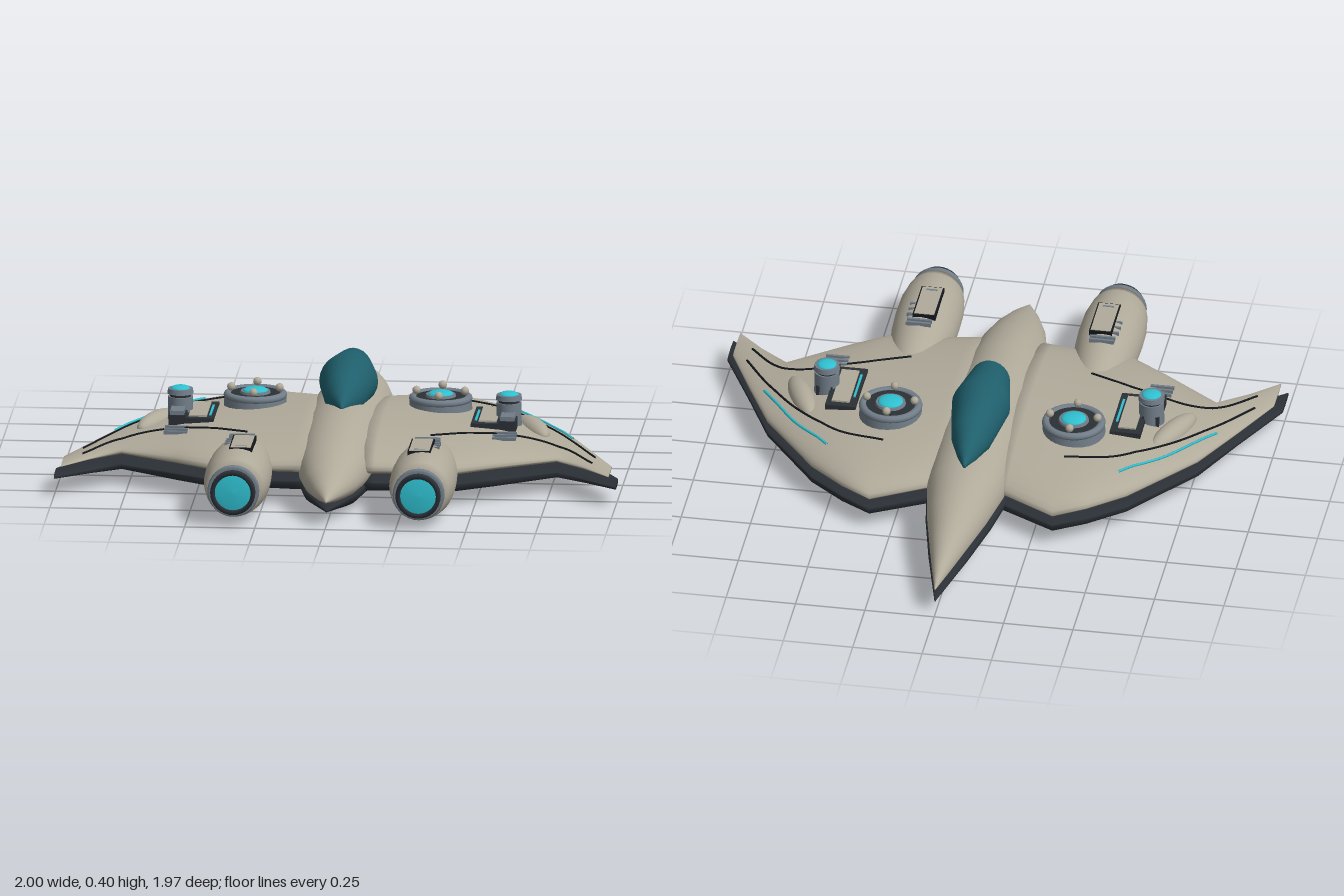
import * as THREE from 'three';

const mat = (name, color, extra = {}) => {
  const m = new THREE.MeshStandardMaterial({ color, ...extra });
  m.name = name;
  return m;
};

// Skin a list of equal-length rings, closing both ends with a fan
function loft(rings) {
  const n = rings[0].length, pos = [], idx = [];
  rings.forEach(r => r.forEach(p => pos.push(...p)));
  for (let i = 0; i < rings.length - 1; i++) for (let j = 0; j < n; j++) {
    const a = i * n + j, b = i * n + (j + 1) % n;
    idx.push(a, b, b + n, a, b + n, a + n);
  }
  [0, rings.length - 1].forEach(k => {
    const c = pos.length / 3;
    pos.push(...[0, 1, 2].map(d => rings[k].reduce((s, p) => s + p[d], 0) / n));
    for (let j = 0; j < n; j++) {
      const a = k * n + j, b = k * n + (j + 1) % n;
      idx.push(c, ...(k ? [a, b] : [b, a]));
    }
  });
  const g = new THREE.BufferGeometry();
  g.setAttribute('position', new THREE.Float32BufferAttribute(pos, 3));
  g.setIndex(idx);
  g.computeVertexNormals();
  return g;
}

// Body along z; each station is [z, halfWidth, topY, midY, bottomY]
const body = (stations, n = 32) => loft(stations.map(([z, w, t, m, b]) =>
  Array.from({ length: n }, (_, j) => {
    const a = j / n * Math.PI * 2, s = Math.sin(a);
    return [w * Math.cos(a), m + s * (s > 0 ? t - m : m - b), z];
  })));

// Wing along x; each station is [x, leadZ, trailZ, midY, rise, drop]
const wing = (stations, power, n = 40) => loft(stations.map(([x, l, t, m, up, down]) =>
  Array.from({ length: n }, (_, j) => {
    const a = j / n * Math.PI * 2, c = Math.cos(a);
    return [x, c > 0 ? m + up * c : m - down * Math.pow(-c, power), (l + t) / 2 + (t - l) / 2 * Math.sin(a)];
  })));

const WING = [
  [0.08, -0.33, 0.64, 0.13, 0.1, 0.05],
  [0.145, -0.36, 0.635, 0.13, 0.098, 0.05],
  [0.33, -0.46, 0.615, 0.125, 0.09, 0.045],
  [0.44, -0.39, 0.61, 0.125, 0.083, 0.045],
  [0.567, -0.283, 0.525, 0.125, 0.073, 0.04],
  [0.775, -0.01, 0.385, 0.12, 0.035, 0.025],
  [0.88, 0.21, 0.475, 0.114, 0.018, 0.012],
  [0.975, 0.42, 0.575, 0.108, 0.006, 0.004],
];

// Height of the wing's upper skin
function wingTop(x, z) {
  let i = 0;
  while (i < WING.length - 2 && x > WING[i + 1][0]) i++;
  const A = WING[i], B = WING[i + 1], k = (x - A[0]) / (B[0] - A[0]);
  const [, l, t, m, up] = A.map((v, d) => v + (B[d] - v) * k);
  const s = THREE.MathUtils.clamp((2 * z - l - t) / (t - l), -1, 1);
  return m + up * Math.sqrt(1 - s * s);
}

export function createModel() {
  const hullMat = mat('warm grey hull', 0xb0aa9a);
  const darkMat = mat('dark underside', 0x2b3036);
  const steelMat = mat('blue grey steel', 0x717d88);
  const glowMat = mat('cyan glow', 0x2fc0d0);
  const glassMat = mat('teal glass', 0x1f5f6c);
  const lineMat = mat('black line', 0x14181c);

  const model = new THREE.Group();
  model.name = 'starfighter';
  const half = new THREE.Group();
  const add = (parent, name, geo, m, x = 0, y = 0, z = 0) => {
    const mesh = new THREE.Mesh(geo, m);
    mesh.name = name;
    mesh.position.set(x, y, z);
    parent.add(mesh);
    return mesh;
  };
  const box = (name, m, w, h, d, x, y, z) => add(half, name, new THREE.BoxGeometry(w, h, d), m, x, y, z);
  const cyl = (name, m, r, y0, y1, x, z, r2 = r) =>
    add(half, name, new THREE.CylinderGeometry(r2, r, y1 - y0, 28), m, x, (y0 + y1) / 2, z);

  // Central hull, belly and canopy
  add(model, 'upperHull', body([
    [-0.985, 0.002, 0.108, 0.105, 0.102], [-0.86, 0.033, 0.148, 0.11, 0.095], [-0.72, 0.066, 0.184, 0.115, 0.09],
    [-0.54, 0.107, 0.222, 0.12, 0.08], [-0.36, 0.139, 0.246, 0.125, 0.07], [-0.1, 0.155, 0.265, 0.125, 0.05],
    [0.2, 0.152, 0.27, 0.125, 0.03], [0.45, 0.142, 0.252, 0.12, 0.02], [0.62, 0.124, 0.22, 0.112, 0.03],
    [0.75, 0.094, 0.183, 0.105, 0.045], [0.86, 0.052, 0.143, 0.098, 0.065], [0.96, 0.003, 0.096, 0.09, 0.086],
  ]), hullMat);
  add(model, 'belly', body([
    [-0.985, 0.002, 0.062, 0.058, 0.055], [-0.72, 0.07, 0.095, 0.07, 0.038], [-0.5, 0.119, 0.11, 0.08, 0.024],
    [-0.3, 0.15, 0.12, 0.085, 0.013], [0, 0.157, 0.12, 0.085, 0.004], [0.3, 0.15, 0.12, 0.085, 0],
    [0.55, 0.134, 0.11, 0.075, 0.002], [0.72, 0.098, 0.09, 0.062, 0.012], [0.93, 0.003, 0.056, 0.05, 0.046],
  ]), darkMat);
  add(model, 'canopy', body([
    [-0.385, 0.004, 0.258, 0.25, 0.24], [-0.33, 0.035, 0.302, 0.26, 0.22], [-0.24, 0.072, 0.365, 0.275, 0.2],
    [-0.04, 0.105, 0.395, 0.29, 0.2], [0.15, 0.072, 0.362, 0.28, 0.2], [0.21, 0.042, 0.32, 0.275, 0.22],
    [0.27, 0.004, 0.274, 0.265, 0.25],
  ], 24), glassMat);

  // Wing skin over a dark plate
  add(half, 'wing', wing(WING, 1), hullMat);
  const plate = WING.map(([x, l, t, , , d], i) =>
    [i === 7 ? 1 : x, i === 7 ? 0.45 : l - 0.004, t + 0.003, 0.084 - 0.002 * i, 0.03 - 0.003 * i, 0.008 + d * 0.9]);
  add(half, 'wingUnderside', wing(plate, 0.5), darkMat);

  // Inlaid lines that follow the wing skin
  const inlay = (name, m, r, pts) => {
    const flat = new THREE.CatmullRomCurve3(pts.map(([x, z]) => new THREE.Vector3(x, 0, z)));
    const path = flat.getPoints(40).map(p => p.setY(wingTop(p.x, p.z) + 0.002));
    add(half, name, new THREE.TubeGeometry(new THREE.CatmullRomCurve3(path), 60, r, 6), m);
  };
  inlay('frontSeam', lineMat, 0.004, [[0.325, -0.19], [0.5, -0.135], [0.66, 0], [0.8, 0.18], [0.915, 0.37]]);
  inlay('rearSeam', lineMat, 0.004, [[0.325, 0.38], [0.5, 0.315], [0.69, 0.28], [0.8, 0.32], [0.91, 0.45]]);
  inlay('lightStrip', glowMat, 0.005, [[0.525, -0.21], [0.66, -0.07], [0.745, 0.05], [0.815, 0.155]]);

  // Engine pod and nozzle, turned about z
  const lathe = (name, m, pts) => {
    const g = new THREE.LatheGeometry(pts.map(([r, z]) => new THREE.Vector2(r, z)), 32);
    g.rotateX(Math.PI / 2);
    add(half, name, g, m, 0.33, 0.123, 0);
  };
  lathe('enginePod', hullMat, [[0, 0.28], [0.05, 0.34], [0.08, 0.42], [0.099, 0.52], [0.113, 0.64],
    [0.117, 0.74], [0.115, 0.83], [0.105, 0.9], [0.092, 0.94], [0, 0.94]]);
  lathe('nozzleRing', steelMat, [[0.088, 0.925], [0.092, 0.93], [0.092, 0.96], [0.086, 0.966], [0, 0.966]]);
  lathe('nozzle', darkMat, [[0.08, 0.955], [0.08, 0.985], [0.064, 0.985], [0.064, 0.968]]);
  lathe('exhaustGlow', glowMat, [[0.064, 0.978], [0.04, 0.982], [0, 0.984]]);

  // Engine hatch and vents
  box('hatchEdge', lineMat, 0.082, 0.02, 0.19, 0.318, 0.231, 0.693);
  box('hatch', hullMat, 0.072, 0.022, 0.18, 0.318, 0.232, 0.693);
  box('hatchSlot', steelMat, 0.04, 0.01, 0.008, 0.318, 0.239, 0.765);
  [0.555, 0.577].forEach(z => box('engineVent', steelMat, 0.09, 0.014, 0.01, 0.33, 0.229, z));
  [0.615, 0.65, 0.685].forEach(z => box('engineNotch', steelMat, 0.022, 0.014, 0.008, 0.371, 0.227, z));

  // Round lift unit on the wing
  const px = 0.33, pz = -0.015;
  cyl('liftBase', steelMat, 0.115, 0.18, 0.238, px, pz, 0.11);
  cyl('liftCollar', darkMat, 0.095, 0.235, 0.25, px, pz, 0.09);
  const rim = add(half, 'liftRim', new THREE.TorusGeometry(0.099, 0.014, 10, 40), steelMat, px, 0.243, pz);
  rim.rotation.x = Math.PI / 2;
  cyl('liftHub', steelMat, 0.056, 0.245, 0.258, px, pz, 0.052);
  const dome = (name, r, h, x, y, z) =>
    add(half, name, new THREE.SphereGeometry(r, 24, 8, 0, Math.PI * 2, 0, Math.PI / 2), glowMat, x, y, z).scale.y = h / r;
  dome('liftGlow', 0.045, 0.014, px, 0.257, pz);
  for (let i = 0; i < 4; i++) {
    const a = i * Math.PI / 2;
    add(half, 'liftStud', new THREE.SphereGeometry(0.015, 12, 8), hullMat,
      px + 0.086 * Math.cos(a), 0.27, pz + 0.086 * Math.sin(a));
  }

  // Equipment bay beside the turret
  box('bayFrame', darkMat, 0.11, 0.07, 0.26, 0.513, 0.18, 0.12);
  box('bayLid', hullMat, 0.064, 0.06, 0.21, 0.516, 0.191, 0.12);
  box('bayLight', glowMat, 0.008, 0.01, 0.15, 0.473, 0.214, 0.13);

  // Turret
  box('turretMount', darkMat, 0.06, 0.06, 0.16, 0.588, 0.195, 0.17);
  box('turretArm', steelMat, 0.05, 0.03, 0.08, 0.588, 0.225, 0.205);
  cyl('turretBody', steelMat, 0.046, 0.16, 0.268, 0.585, 0.13, 0.044);
  cyl('turretNeck', darkMat, 0.038, 0.265, 0.28, 0.585, 0.13);
  cyl('turretCap', steelMat, 0.047, 0.278, 0.296, 0.585, 0.13, 0.044);
  dome('turretGlow', 0.035, 0.012, 0.585, 0.295, 0.13);

  // Teardrop fairing and wing louvres
  const fairing = add(half, 'fairing', new THREE.SphereGeometry(1, 24, 16), hullMat, 0.668, 0.165, 0.1);
  fairing.scale.set(0.042, 0.04, 0.135);
  fairing.rotation.y = 0.42;
  [0.298, 0.327, 0.355].forEach(z =>
    box('louvre', steelMat, 0.084, 0.012, 0.01, 0.585, wingTop(0.585, z) + 0.006, z));

  // Left half plus its mirrored copy
  half.name = 'leftSide';
  half.updateMatrixWorld(true);
  const right = new THREE.Group();
  right.name = 'rightSide';
  half.children.forEach(m => {
    const g = m.geometry.clone().applyMatrix4(m.matrixWorld).scale(-1, 1, 1);
    const ix = g.index.array;
    for (let i = 0; i < ix.length; i += 3) [ix[i], ix[i + 1]] = [ix[i + 1], ix[i]];
    add(right, m.name, g, m.material);
  });
  [hullMat, darkMat, steelMat, glowMat].forEach(m => { m.side = THREE.DoubleSide; });
  model.add(half, right);
  return model;
}
